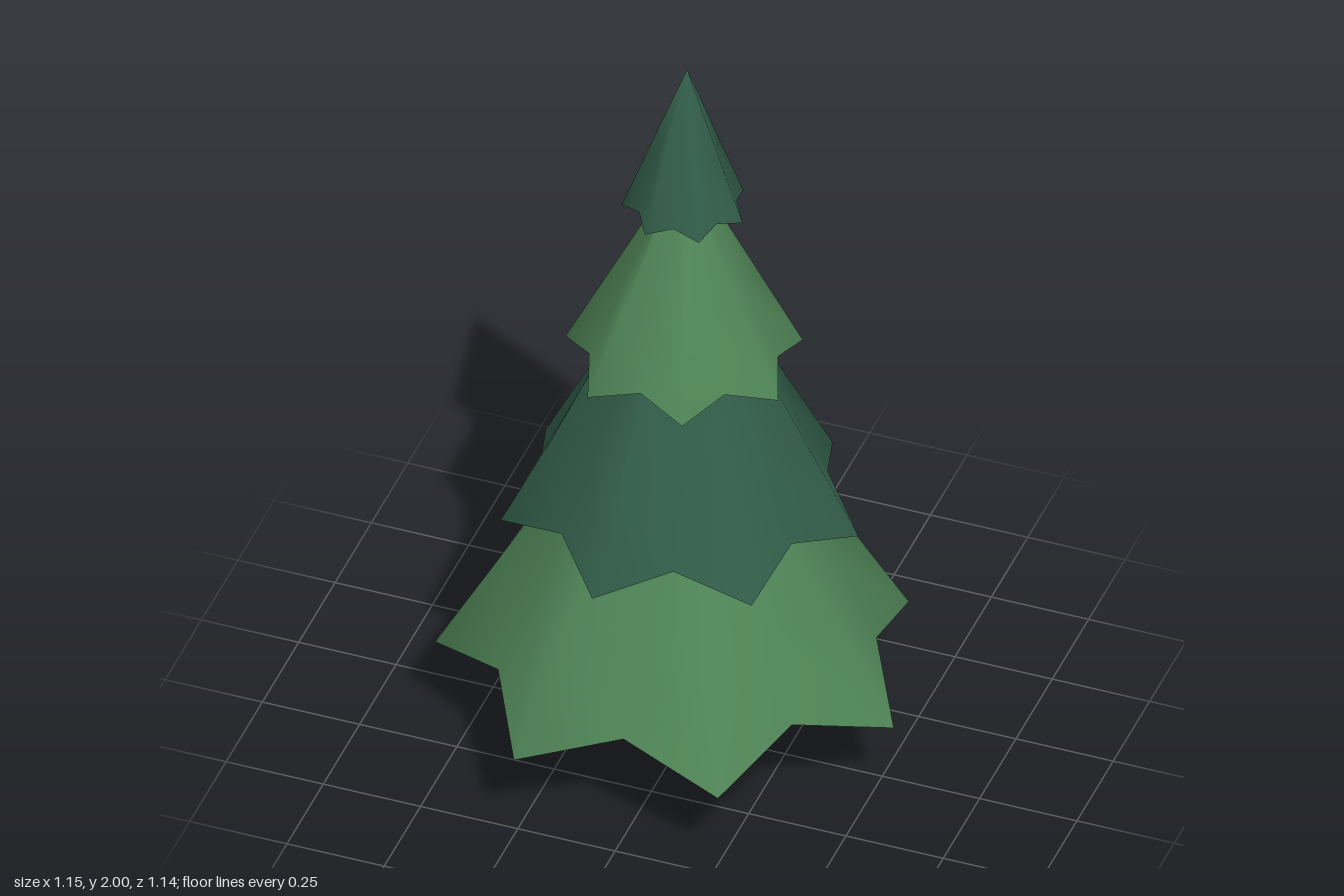
import * as THREE from 'three';
import { mergeVertices } from 'three/addons/utils/BufferGeometryUtils.js';

const POINTS = 7;
const SEG = POINTS * 2;
const LIGHT = 0x4f8456, DARK = 0x315c49, BARK = 0x5e4232;

// Smooth star-shaped surface through a list of rings; upward lists face outwards.
// Each ring is [tipRadius, tipY, valleyRadius, valleyY]; radius 0 closes to a point.
function starLoft(rings, turn) {
  const pos = [];
  const at = (ring, i) => {
    const a = turn + ((i % SEG) / SEG) * Math.PI * 2;
    const [r, y] = i % 2 ? ring.slice(2) : ring;
    return [r * Math.cos(a), y, r * Math.sin(a)];
  };
  for (let k = 0; k < rings.length - 1; k++) {
    const [lo, up] = [rings[k], rings[k + 1]];
    for (let i = 0; i < SEG; i++) {
      const a = at(lo, i), b = at(lo, i + 1), c = at(up, i), d = at(up, i + 1);
      if (up[0] > 0) pos.push(...a, ...c, ...d);
      if (lo[0] > 0) pos.push(...a, ...d, ...b);
    }
  }
  const geo = new THREE.BufferGeometry();
  geo.setAttribute('position', new THREE.Float32BufferAttribute(pos, 3));
  const merged = mergeVertices(geo);
  merged.computeVertexNormals();
  return merged;
}

function part(name, geo, color, flatShading = false) {
  const mesh = new THREE.Mesh(geo, new THREE.MeshStandardMaterial({ color, flatShading }));
  mesh.name = name;
  return mesh;
}

// One skirt of branches: star-shaped cone with a hollowed underside
function tier({ name, color, tip, valley, top, turn }) {
  const group = new THREE.Group();
  group.name = name;
  const a = THREE.MathUtils.degToRad(turn);
  const rim = [...tip, ...valley];
  const crown = [...top, ...top];
  const middle = rim.map((v, i) => THREE.MathUtils.lerp(v, crown[i], 0.4));
  group.add(part(name + 'Needles', starLoft([rim, middle, crown], a), color));

  // from the centre outwards, so the faces look down
  const innerR = tip[0] * 0.38, innerY = tip[1] + tip[0] * 0.2;
  const under = [[0, innerY, 0, innerY], [innerR, innerY, innerR, innerY], rim];
  group.add(part(name + 'Underside', starLoft(under, a), DARK));
  return group;
}

export function createModel() {
  const model = new THREE.Group();
  model.name = 'pineTree';

  // The whole tree leans slightly backwards
  const tree = new THREE.Group();
  tree.name = 'leaningTree';
  tree.position.set(-0.011, 0.002, 0.028);
  tree.rotation.x = -0.026;
  model.add(tree);

  // Trunk
  const trunk = part('trunk', new THREE.CylinderGeometry(0.068, 0.088, 0.48, 8), BARK, true);
  trunk.position.set(0.005, 0.24, 0.005);
  tree.add(trunk);

  // Branch tiers, bottom to top: [radius, height] of tips, valleys and crown
  const tiers = [
    { name: 'lowestTier', color: LIGHT, tip: [0.592, 0.248], valley: [0.473, 0.326], top: [0.215, 0.89], turn: 9.3 },
    { name: 'lowerTier', color: DARK, tip: [0.443, 0.697], valley: [0.355, 0.756], top: [0.14, 1.26], turn: -4.1 },
    { name: 'upperTier', color: LIGHT, tip: [0.293, 1.146], valley: [0.233, 1.181], top: [0.04, 1.65], turn: 18.9 },
    { name: 'topTier', color: DARK, tip: [0.154, 1.59], valley: [0.123, 1.608], top: [0, 1.998], turn: 6 },
  ];
  tiers.forEach((t) => tree.add(tier(t)));
  return model;
}
